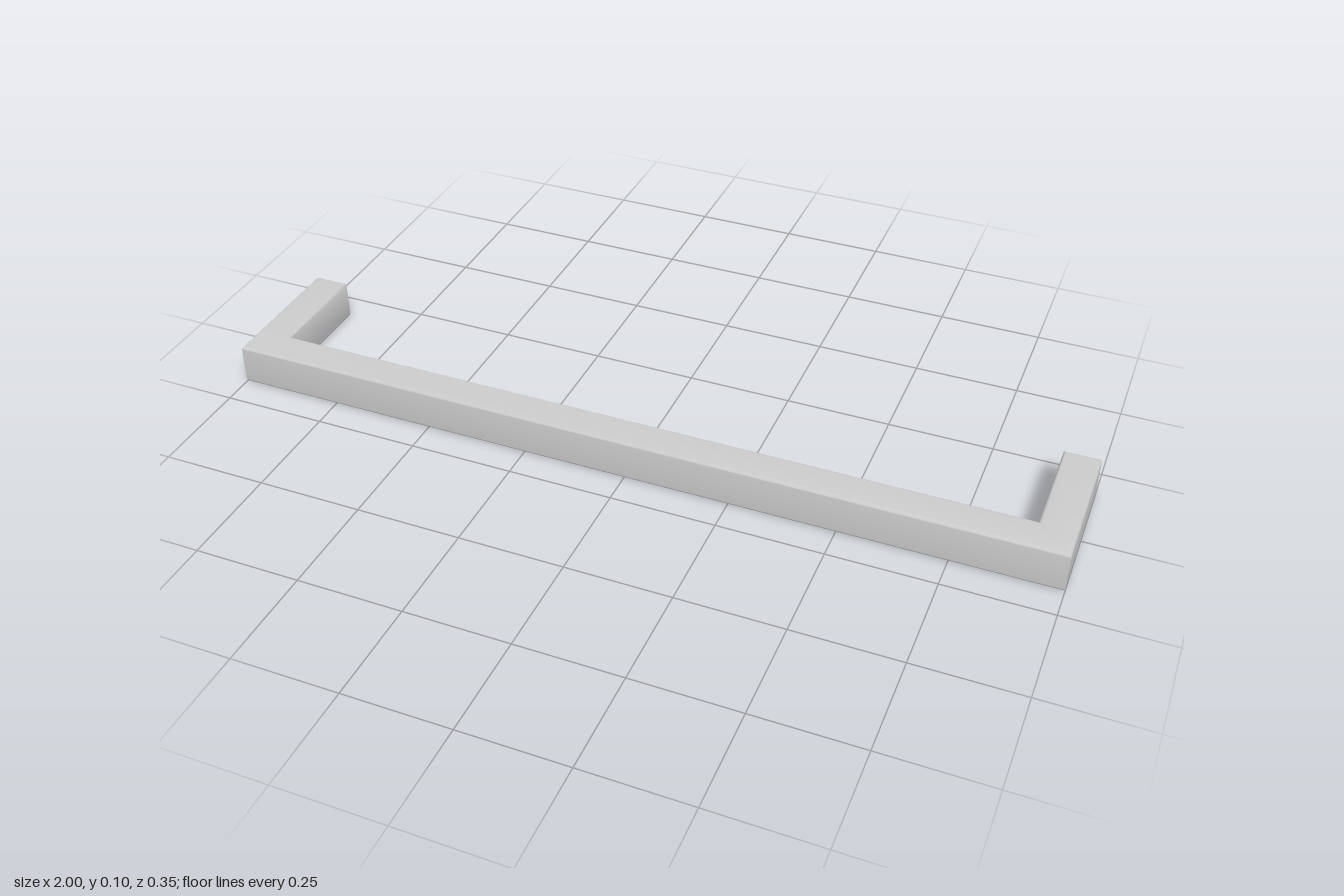
import * as THREE from 'three';
import { toCreasedNormals } from 'three/addons/utils/BufferGeometryUtils.js';

export function createModel() {
  const halfWidth = 1, halfDepth = 0.174, height = 0.1;
  const bar = 0.085; // thickness of grip and legs
  const round = 0.007; // radius of the long edges

  // U-shaped plan, drawn with shape y = -z
  const inner = halfWidth - bar;
  const plan = new THREE.Shape([
    [-halfWidth, -halfDepth], [halfWidth, -halfDepth], [halfWidth, halfDepth], [inner, halfDepth],
    [inner, bar - halfDepth], [-inner, bar - halfDepth], [-inner, halfDepth], [-halfWidth, halfDepth],
  ].map(([x, y]) => new THREE.Vector2(x, y)));

  // Raised to full height with rounded top and bottom edges
  const extruded = new THREE.ExtrudeGeometry(plan, {
    depth: height - 2 * round,
    bevelThickness: round,
    bevelSize: round,
    bevelOffset: -round,
    bevelSegments: 5,
  });
  extruded.rotateX(-Math.PI / 2).translate(0, round, 0);

  const handle = new THREE.Mesh(
    toCreasedNormals(extruded, Math.PI / 5),
    new THREE.MeshStandardMaterial({ color: 0xcccccc }),
  );
  handle.name = 'pullHandle';

  const group = new THREE.Group();
  group.name = 'drawerHandle';
  group.add(handle);
  return group;
}
